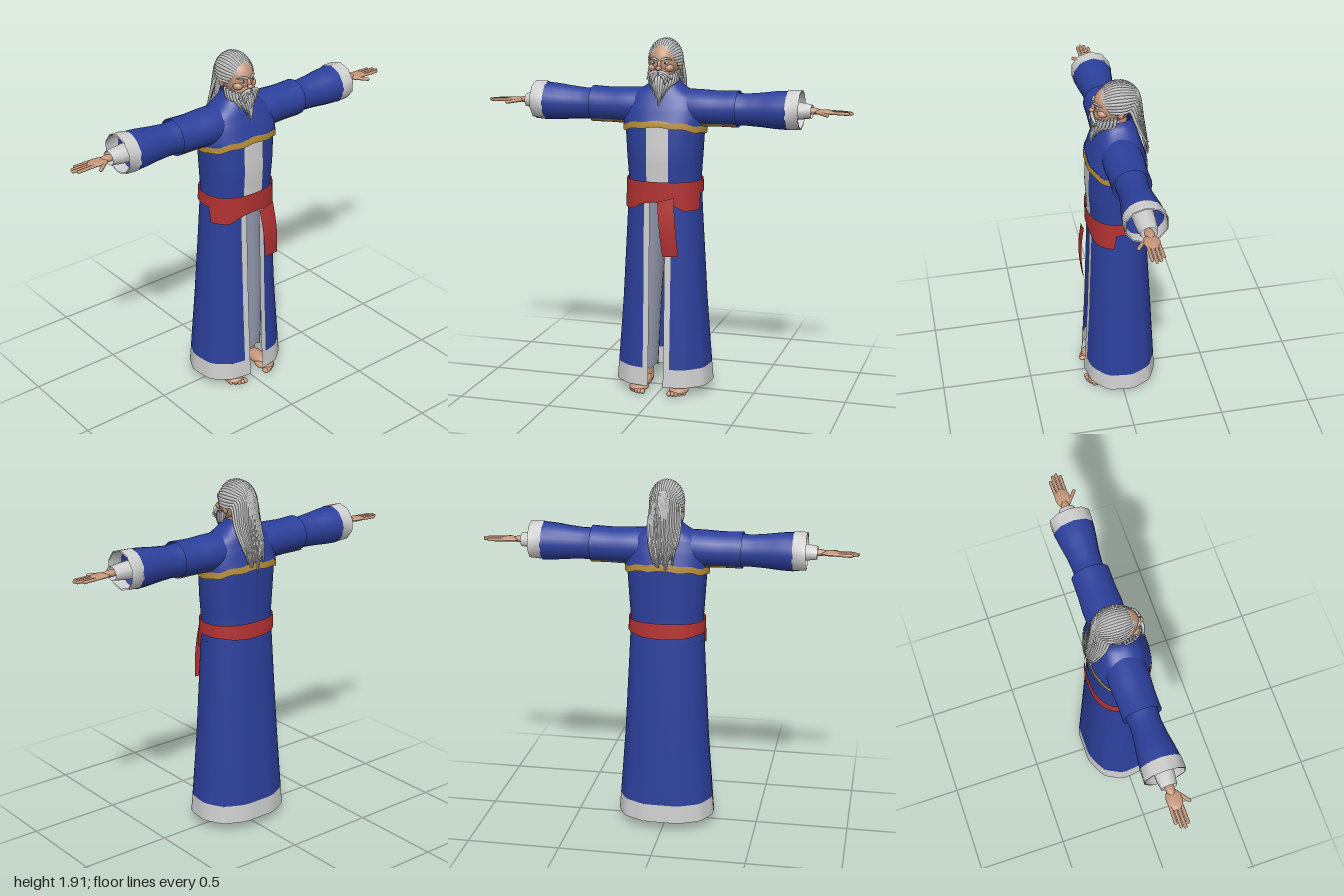
import * as THREE from 'three';
import { mergeVertices } from 'three/addons/utils/BufferGeometryUtils.js';

const mat = (name, color, side = THREE.DoubleSide) => {
  const m = new THREE.MeshStandardMaterial({ color, side });
  m.name = name;
  return m;
};
const lerp = THREE.MathUtils.lerp;
const V = (x, y, z) => new THREE.Vector3(x, y, z);

// Interpolates a row table by its first column
function sample(rows, t) {
  let i = 0;
  while (i < rows.length - 2 && t > rows[i + 1][0]) i++;
  const k = (t - rows[i][0]) / (rows[i + 1][0] - rows[i][0]);
  return rows[i].map((a, j) => lerp(a, rows[i + 1][j], k));
}

// Smooth surface through f(u, v) -> [x, y, z]
function surface(nu, nv, f) {
  const pos = [], idx = [];
  for (let j = 0; j <= nv; j++) for (let i = 0; i <= nu; i++) pos.push(...f(i / nu, j / nv));
  for (let j = 0; j < nv; j++) for (let i = 0; i < nu; i++) {
    const a = j * (nu + 1) + i, b = a + 1, c = a + nu + 1, d = c + 1;
    idx.push(a, b, d, a, d, c);
  }
  let g = new THREE.BufferGeometry();
  g.setAttribute('position', new THREE.Float32BufferAttribute(pos, 3));
  g.setIndex(idx);
  g = mergeVertices(g, 1e-5);
  g.computeVertexNormals();
  return g;
}

// Tapered lock of hair along a few points
function lock(points, r, tip) {
  const curve = new THREE.CatmullRomCurve3(points), n = 18, sides = 5;
  const g = new THREE.TubeGeometry(curve, n, r, sides);
  const p = g.attributes.position, v = V(0, 0, 0);
  for (let i = 0; i <= n; i++) {
    const c = curve.getPointAt(i / n), k = lerp(1, tip, (i / n) ** 2);
    for (let j = 0; j <= sides; j++) {
      v.fromBufferAttribute(p, i * (sides + 1) + j).sub(c).multiplyScalar(k).add(c);
      p.setXYZ(i * (sides + 1) + j, v.x, v.y, v.z);
    }
  }
  return g;
}

export function createModel() {
  const root = new THREE.Group();
  const blue = mat('blue cloth', 0x2c409c), white = mat('white trim', 0xcfcfcf);
  const red = mat('red sash', 0xb23232), gold = mat('gold hem', 0xb48c38);
  const grey = mat('grey trousers', 0x8f97aa), hair = mat('grey hair', 0xc6c6c6);
  const skin = mat('skin', 0xc4967a, THREE.FrontSide), dark = mat('dark eye', 0x2c3440, THREE.FrontSide);
  const add = (name, geo, material, parent = root) => {
    const m = new THREE.Mesh(geo, material);
    m.name = name;
    parent.add(m);
    return m;
  };
  const ball = (name, material, p, s, parent = root) => {
    const m = add(name, new THREE.SphereGeometry(1, 20, 14), material, parent);
    m.position.set(...p);
    m.scale.set(...s);
    return m;
  };
  let seed = 7;
  const rnd = () => (seed = (seed * 16807) % 2147483647) / 2147483647;

  // Body section: angle 0 is the front; rows are y, half width, front z, back z
  const E = 0.85, TAU = Math.PI * 2;
  const bend = (s) => Math.sign(s) * Math.abs(s) ** E;
  const section = (rows, a, y, grow = 0) => {
    const [, rx, zf, zb] = sample(rows, y);
    const c = bend(Math.cos(a));
    const fold = 1 + 0.012 * Math.cos(a * 11) * THREE.MathUtils.clamp(1 - y, 0, 1);
    return [(rx + grow) * bend(Math.sin(a)) * fold, y, (c > 0 ? c * (zf + grow) : -c * (zb - grow)) * fold];
  };
  const robe = [[0.05, 0.262, 0.195, -0.208], [0.15, 0.254, 0.19, -0.202], [0.5, 0.228, 0.173, -0.183],
    [1.02, 0.2, 0.155, -0.152], [1.17, 0.194, 0.155, -0.142], [1.3, 0.203, 0.163, -0.145], [1.47, 0.213, 0.155, -0.15]];
  const angleAt = (x, y) => Math.asin((x / sample(robe, y)[1]) ** (1 / E));
  // Robe strip between distances x0 and x1 from the front middle
  const strip = (s, x0, x1, y0, y1, n) => surface(n, 10, (u, v) => {
    const y = lerp(y0, y1, v);
    const a = lerp(angleAt(x0, y), x1 ? angleAt(x1, y) : Math.PI, u);
    return section(robe, s * a, y);
  });
  for (const s of [1, -1]) {
    add('robeSkirt', strip(s, 0.075, 0, 0.15, 1.06, 28), blue);
    add('skirtTrim', strip(s, 0.042, 0.075, 0.15, 1.06, 4), white);
    add('robeHem', strip(s, 0.042, 0, 0.05, 0.15, 28), white);
    add('robeChest', strip(s, 0.06, 0, 1.06, 1.47, 28), blue);
    add('chestPanel', strip(s, 0, 0.06, 1.06, 1.47, 4), white);
  }

  // Sash: deep in front, narrower behind, with a hanging end
  add('sash', surface(72, 4, (u, v) => {
    const a = u * TAU, c = Math.cos(a);
    const low = c > 0.2 ? 1.015 + 0.045 * Math.max(0, c - 0.8) / 0.2 : 1.1 - 0.035 * Math.max(0, -c - 0.6);
    const y = lerp(low, 1.17, v), p = section(robe, a, y, 0.01);
    return p;
  }), red);
  add('sashEnd', surface(4, 10, (u, v) => [
    lerp(lerp(0.042, 0.13, u), lerp(0.012, 0.102, u), v),
    lerp(0.78, lerp(1.07, 1.097, u), v) + 0.005 * u * (1 - v),
    0.203 + 0.014 * Math.sin(v * Math.PI) - 0.008 * v - 0.006 * (u - 0.5) ** 2,
  ]), red);

  // Shoulder cape with a gold lower edge
  const cape = [[1.4, 0.222, 0.17, -0.158], [1.48, 0.222, 0.162, -0.15], [1.55, 0.216, 0.137, -0.13],
    [1.61, 0.19, 0.11, -0.11], [1.65, 0.118, 0.09, -0.095], [1.675, 0.082, 0.077, -0.085], [1.71, 0.068, 0.066, -0.078]];
  const hemY = (a) => 1.438 + 0.018 * Math.cos(2 * a) + 0.004 * Math.cos(a * 10);
  add('cape', surface(48, 16, (u, v) => {
    const a = u * TAU;
    return section(cape, a, lerp(hemY(a) + 0.033, 1.71, v));
  }), blue);
  add('capeHem', surface(48, 3, (u, v) => {
    const a = u * TAU;
    return section(cape, a, hemY(a) + 0.034 * v, 0.002);
  }), gold);

  // Arm tubes: rows are x, centre y, half height, half depth
  const capeArm = [[0.1, 1.55, 0.098, 0.1], [0.2, 1.55, 0.096, 0.106], [0.3, 1.549, 0.092, 0.1], [0.4, 1.551, 0.095, 0.1]];
  const sleeve = [[0.37, 1.548, 0.088, 0.084], [0.44, 1.548, 0.084, 0.079], [0.52, 1.55, 0.09, 0.086],
    [0.6, 1.552, 0.099, 0.099], [0.665, 1.553, 0.102, 0.106]];
  const cuff = [[0.66, 1.555, 0.105, 0.108], [0.73, 1.558, 0.103, 0.11]];
  const underSleeve = [[0.5, 1.552, 0.06, 0.06], [0.72, 1.553, 0.046, 0.052], [0.785, 1.553, 0.036, 0.042]];
  const tube = (rows, s, n, sides, a0 = 0, a1 = TAU, grow = 0, x0 = rows[0][0]) => surface(sides, n, (u, v) => {
    const [x, cy, ry, rz] = sample(rows, lerp(x0, rows[rows.length - 1][0], v));
    const a = lerp(a0, a1, u);
    return [s * x, cy - Math.cos(a) * (ry + grow), Math.sin(a) * (rz + grow)];
  });
  for (const s of [1, -1]) {
    add('capeSleeve', tube(capeArm, s, 8, 24), blue);
    add('capeSleeveHem', tube(capeArm, s, 6, 8, -0.7, 0.7, 0.003, 0.19), gold);
    add('sleeve', tube(sleeve, s, 12, 16), blue);
    add('cuff', tube(cuff, s, 2, 10), white);
    add('cuffLining', tube(cuff, s, 2, 10, 0, TAU, -0.006), white);
    add('underSleeve', tube(underSleeve, s, 6, 10), white);

    // Flat hand, palm down
    const hand = new THREE.Group();
    hand.name = 'hand';
    root.add(hand);
    ball('wrist', skin, [s * 0.79, 1.555, 0], [0.045, 0.018, 0.024], hand);
    ball('palm', skin, [s * 0.85, 1.553, 0.002], [0.058, 0.013, 0.04], hand);
    const finger = (name, from, to, r) => {
      const a = V(s * from[0], from[1], from[2]), b = V(s * to[0], to[1], to[2]);
      const m = add(name, new THREE.CapsuleGeometry(r, a.distanceTo(b), 4, 8), skin, hand);
      m.position.copy(a).lerp(b, 0.5);
      m.quaternion.setFromUnitVectors(V(0, 1, 0), b.sub(a).normalize());
    };
    [0.96, 0.985, 0.992, 0.975].forEach((tip, i) =>
      finger('finger', [0.86, 1.553, -0.027 + i * 0.018], [tip, 1.55, -0.03 + i * 0.0195], 0.0085));
    finger('thumb', [0.815, 1.552, 0.022], [0.875, 1.545, 0.07], 0.0095);

    // Trouser leg, ankle and bare foot
    const leg = [[0.11, 0.11, 0.062, 0.07], [0.5, 0.098, 0.07, 0.085], [0.88, 0.078, 0.078, 0.1], [1.05, 0.07, 0.08, 0.11]];
    add('trouserLeg', surface(20, 12, (u, v) => {
      const a = u * TAU, [y, cx, rx, rz] = sample(leg, lerp(0.11, 1.05, v));
      return [s * cx + rx * Math.sin(a), y + (v ? 0 : 0.012 * Math.cos(a * 5)), rz * Math.cos(a) - 0.01];
    }), grey);
    const ankle = add('ankle', new THREE.CylinderGeometry(0.042, 0.033, 0.16, 14), skin);
    ankle.position.set(s * 0.11, 0.11, -0.012);
    ball('heel', skin, [s * 0.108, 0.036, -0.01], [0.036, 0.036, 0.045]);
    ball('instep', skin, [s * 0.11, 0.034, 0.06], [0.043, 0.034, 0.1]);
    ball('forefoot', skin, [s * 0.112, 0.024, 0.125], [0.053, 0.024, 0.06]);
    for (let i = 0; i < 5; i++)
      ball('toe', skin, [s * (0.075 + i * 0.0185), 0.015, 0.182 - i * i * 0.0022], [0.013 - i * 0.0008, 0.014, 0.021]);
  }

  // Head and face
  const head = new THREE.Group();
  head.name = 'head';
  root.add(head);
  ball('skull', skin, [0, 1.79, 0.015], [0.079, 0.102, 0.1], head);
  ball('jaw', skin, [0, 1.735, 0.045], [0.06, 0.055, 0.07], head);
  const neck = add('neck', new THREE.CylinderGeometry(0.048, 0.055, 0.14, 16), skin, head);
  neck.position.set(0, 1.68, -0.005);
  ball('noseBridge', skin, [0, 1.78, 0.112], [0.01, 0.026, 0.016], head).rotation.x = -0.35;
  ball('noseTip', skin, [0, 1.762, 0.125], [0.015, 0.012, 0.015], head);
  for (const s of [1, -1]) {
    ball('cheek', skin, [s * 0.042, 1.76, 0.078], [0.027, 0.022, 0.027], head);
    ball('ear', skin, [s * 0.08, 1.765, -0.008], [0.011, 0.027, 0.018], head);
    ball('eyeWhite', white, [s * 0.031, 1.789, 0.1], [0.014, 0.008, 0.009], head);
    ball('iris', dark, [s * 0.031, 1.789, 0.106], [0.006, 0.006, 0.005], head);
    add('eyebrow', lock([V(s * 0.01, 1.803, 0.116), V(s * 0.032, 1.812, 0.11), V(s * 0.06, 1.803, 0.083)], 0.007, 0.4), hair, head);
    for (let i = 0; i < 3; i++)
      add('moustache', lock([V(s * 0.004, 1.746 - i * 0.004, 0.127), V(s * (0.04 - i * 0.008), 1.737 - i * 0.008, 0.127),
        V(s * (0.068 - i * 0.016), 1.702 - i * 0.012, 0.112 + i * 0.01)], 0.01, 0.25), hair, head);
  }

  // Hair: a cap, swept-back locks and a long fall behind
  const skullPoint = (t, p) => V(0.084 * Math.sin(t) * Math.sin(p), 1.795 + 0.106 * Math.cos(t) * Math.sin(p), -0.01 + 0.108 * Math.cos(p));
  add('hairCap', surface(28, 16, (u, v) => {
    const t = lerp(-1.75, 1.75, u);
    return skullPoint(t, lerp(0.52 + 0.17 * t * t, Math.PI, v)).toArray();
  }), hair, head);
  for (let i = 0; i < 23; i++) {
    const k = (i - 11) / 11, t = k * 1.75, p0 = 0.5 + 0.52 * k * k, p1 = 2.7 - 0.7 * k * k;
    const pts = [0, 0.25, 0.5, 0.75, 1].map((q) => skullPoint(t, lerp(p0, p1, q)));
    pts.push(V(0.082 * k, 1.69, -0.135 + 0.045 * k * k), V(0.07 * k, 1.58, -0.152 + 0.012 * k * k),
      V(0.055 * k + 0.01 * (rnd() - 0.5), 1.43 + 0.12 * rnd() + 0.04 * k * k, -0.158));
    add('hairLock', lock(pts, 0.0105, 0.35), hair, head);
  }
  add('hairFall', surface(10, 10, (u, v) => {
    const k = u * 2 - 1, w = lerp(0.045, 0.08, v);
    return [k * w, lerp(1.5, 1.83, v), lerp(-0.15, -0.1, v ** 2) + 0.05 * k * k * v];
  }), hair, head);

  // Beard: a solid core under long tapering locks
  ball('beardCore', hair, [0, 1.69, 0.075], [0.052, 0.058, 0.045], head);
  for (let layer = 0; layer < 2; layer++) for (let i = 0; i < 17; i++) {
    const k = (i - 8) / 8, a = k * 1.6, r = 1 - 0.15 * layer;
    const x = 0.078 * Math.sin(a) * r, z = 0.02 + 0.09 * Math.cos(a) * r;
    const end = 1.545 + 0.115 * Math.abs(k) + 0.05 * rnd() + 0.015 * layer;
    add('beardLock', lock([V(x, 1.722 + 0.025 * k * k, z), V(x * 0.92, 1.685, z + 0.012),
      V(x * lerp(0.4, 0.75, Math.abs(k)), lerp(1.685, end, 0.55), z * 0.85 + 0.035),
      V(x * lerp(0.25, 0.65, Math.abs(k)), end, z * 0.8 + 0.045)], 0.0095, 0.25), hair, head);
  }
  return root;
}
